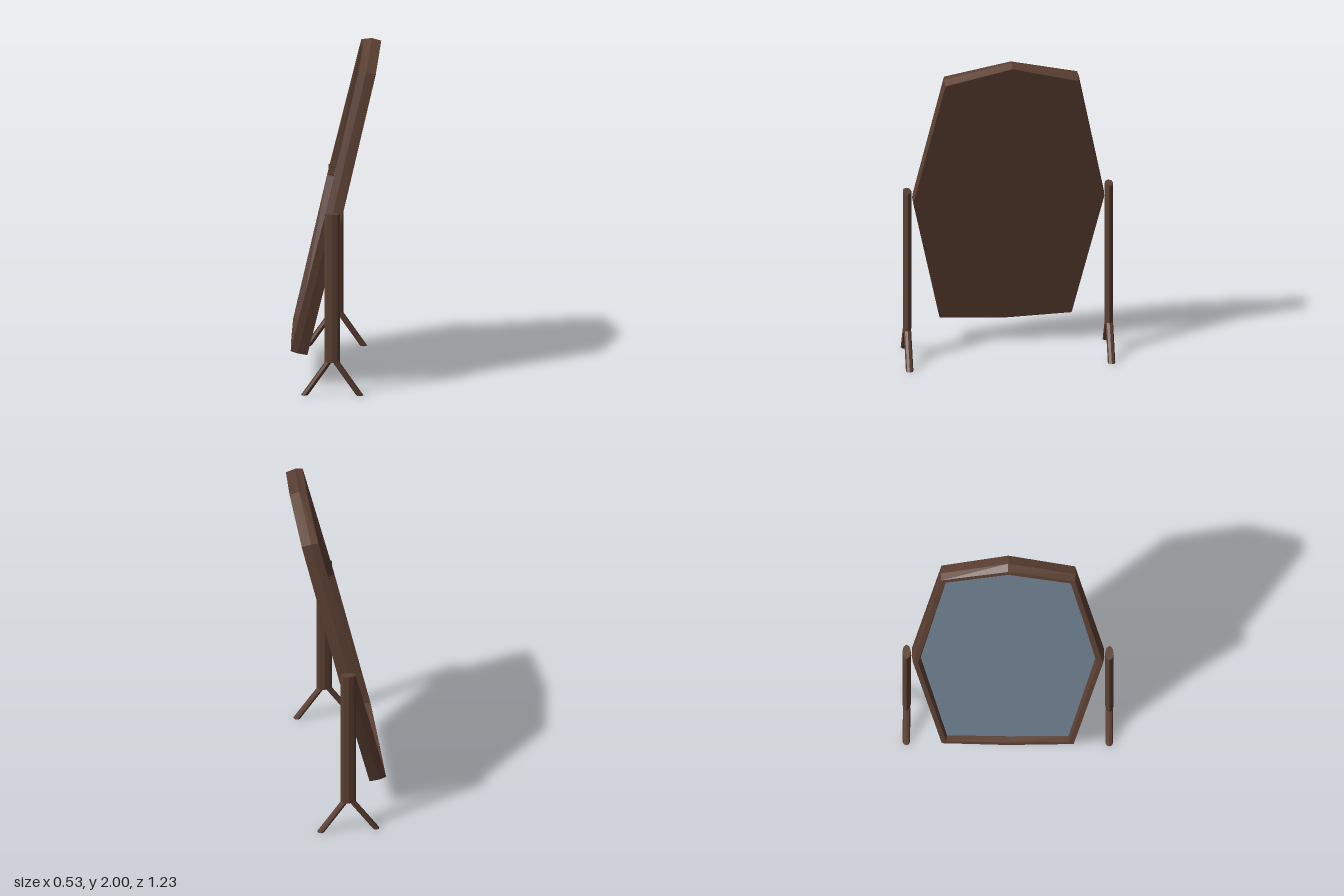
import * as THREE from 'three';

// Mirror-symmetric eight-sided outline; x is the depth, half is [z, y] from top to bottom
function outline(x, half) {
  const left = half.map(([z, y]) => new THREE.Vector3(x, y, z));
  const right = half.slice(1, -1).reverse().map(([z, y]) => new THREE.Vector3(x, y, -z));
  return [...left, ...right];
}

function meshFrom(name, points, material) {
  const geometry = new THREE.BufferGeometry().setFromPoints(points);
  geometry.computeVertexNormals();
  const mesh = new THREE.Mesh(geometry, material);
  mesh.name = name;
  return mesh;
}

// Walls between successive outlines
function loft(rings) {
  const points = [];
  for (let r = 0; r < rings.length - 1; r++) {
    const a = rings[r], b = rings[r + 1];
    a.forEach((p, i) => {
      const j = (i + 1) % a.length;
      points.push(p, a[j], b[j], p, b[j], b[i]);
    });
  }
  return points;
}

// Flat fill of one outline
function cap(ring, flip) {
  const points = [];
  for (let i = 1; i < ring.length - 1; i++) {
    points.push(ring[0], ...(flip ? [ring[i + 1], ring[i]] : [ring[i], ring[i + 1]]));
  }
  return points;
}

// Upright eight-sided bar whose horizontal cross-section slides from bottomX to topX
function bar(name, rx, rz, bottom, top, bottomX, topX, material) {
  const geometry = new THREE.CylinderGeometry(1, 1, 1, 8);
  geometry.scale(rx, top - bottom, rz);
  const p = geometry.attributes.position;
  for (let i = 0; i < p.count; i++) {
    const t = p.getY(i) / (top - bottom) + 0.5;
    p.setXYZ(i, p.getX(i) + bottomX + (topX - bottomX) * t, bottom + t * (top - bottom), p.getZ(i));
  }
  geometry.computeVertexNormals();
  const mesh = new THREE.Mesh(geometry, material);
  mesh.name = name;
  return mesh;
}

export function createModel() {
  const wood = new THREE.MeshStandardMaterial({ color: 0x5c4033, flatShading: true });
  wood.name = 'dark brown wood';
  const silver = new THREE.MeshStandardMaterial({ color: 0x708090, flatShading: true });
  silver.name = 'blue grey glass';

  const model = new THREE.Group();
  model.name = 'standingMirror';

  // Tilted panel: recessed glass, rim, bevelled side and flat back
  const panel = new THREE.Group();
  panel.name = 'tiltingPanel';
  panel.rotation.z = -0.232;
  const rings = [
    outline(-0.266, [[0, 1.935], [0.36, 1.845], [0.51, 1.0], [0.355, 0.172], [0, 0.165]]),
    outline(-0.304, [[0, 1.94], [0.365, 1.852], [0.525, 1.0], [0.36, 0.167], [0, 0.157]]),
    outline(-0.304, [[0, 1.97], [0.39, 1.876], [0.555, 1.005], [0.385, 0.145], [0, 0.13]]),
    outline(-0.262, [[0, 1.995], [0.395, 1.886], [0.562, 1.01], [0.39, 0.142], [0, 0.125]]),
    outline(-0.204, [[0, 1.992], [0.39, 1.882], [0.56, 1.01], [0.387, 0.145], [0, 0.126]]),
  ];
  panel.add(
    meshFrom('frame', loft(rings), wood),
    meshFrom('backBoard', cap(rings[4], false), wood),
    meshFrom('mirrorGlass', cap(rings[0], true), silver),
  );
  model.add(panel);

  // A post with two splayed legs on each side
  for (const side of [1, -1]) {
    const stand = new THREE.Group();
    stand.name = side > 0 ? 'leftStand' : 'rightStand';
    stand.position.z = side * 0.592;
    stand.add(
      bar('post', 0.045, 0.025, 0.2, 1.09, -0.016, -0.016, wood),
      bar('frontLeg', 0.021, 0.022, 0, 0.2, 0.145, 0.006, wood),
      bar('rearLeg', 0.021, 0.022, 0, 0.2, -0.178, -0.038, wood),
    );
    model.add(stand);
  }
  return model;
}
